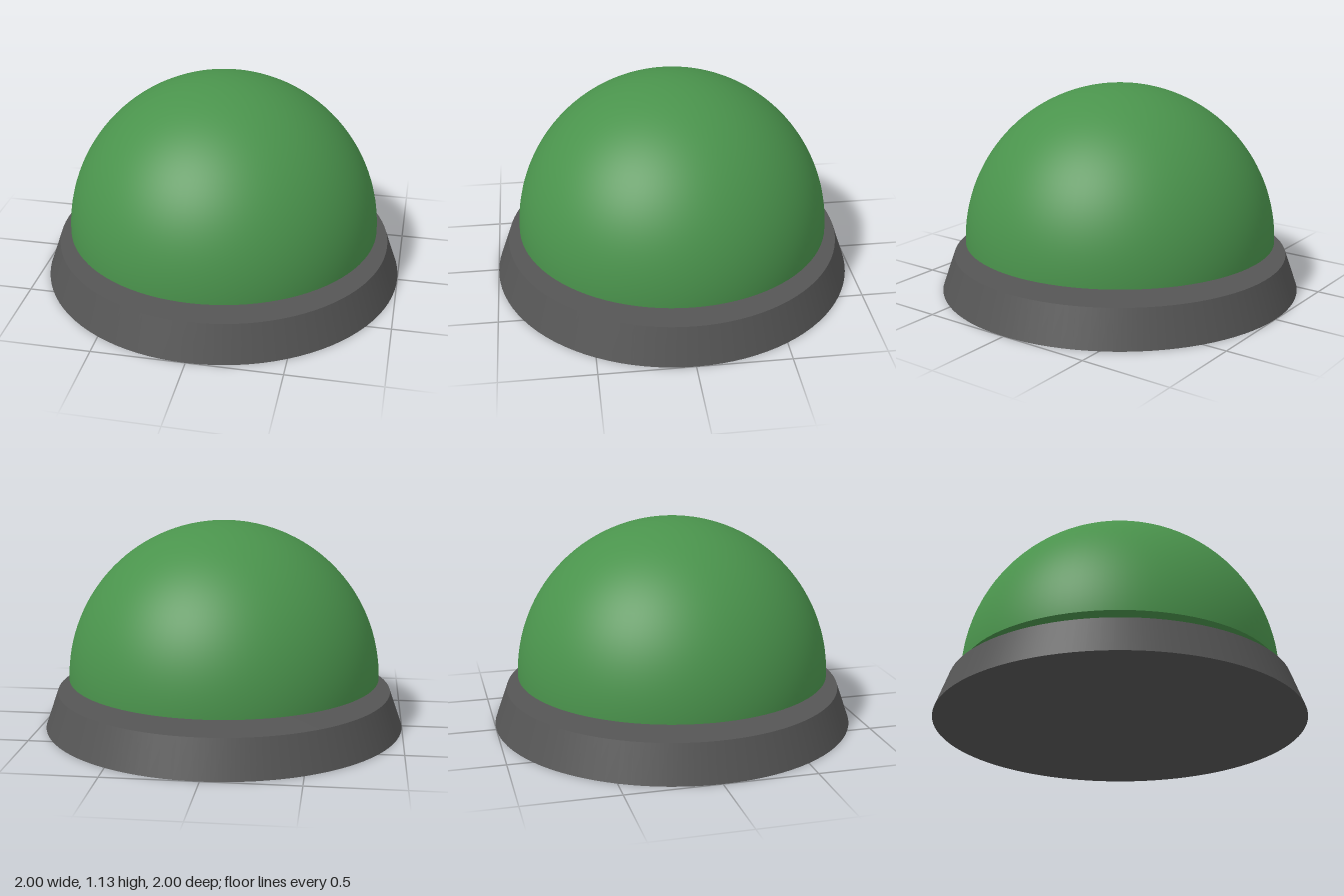
import * as THREE from 'three';

const SEGMENTS = 96;

export function createModel() {
  const group = new THREE.Group();
  const grey = new THREE.MeshStandardMaterial({ color: 0x555555 });
  const green = new THREE.MeshStandardMaterial({ color: 0x4a934c });

  const add = (name, geometry, material, y) => {
    const mesh = new THREE.Mesh(geometry, material);
    mesh.name = name;
    mesh.position.y = y;
    group.add(mesh);
  };

  // Tapered round base
  add('base', new THREE.CylinderGeometry(0.93, 1, 0.2, SEGMENTS), grey, 0.1);

  // Short stem between base and dome
  add('stem', new THREE.CylinderGeometry(0.333, 0.333, 0.07, SEGMENTS), grey, 0.235);

  // Push dome: hemisphere with a flat underside
  const radius = 0.865;
  add('dome', new THREE.SphereGeometry(radius, SEGMENTS, 32, 0, Math.PI * 2, 0, Math.PI / 2), green, 0.27);
  const underside = new THREE.CircleGeometry(radius, SEGMENTS).rotateX(Math.PI / 2);
  add('domeUnderside', underside, green, 0.27);

  return group;
}
